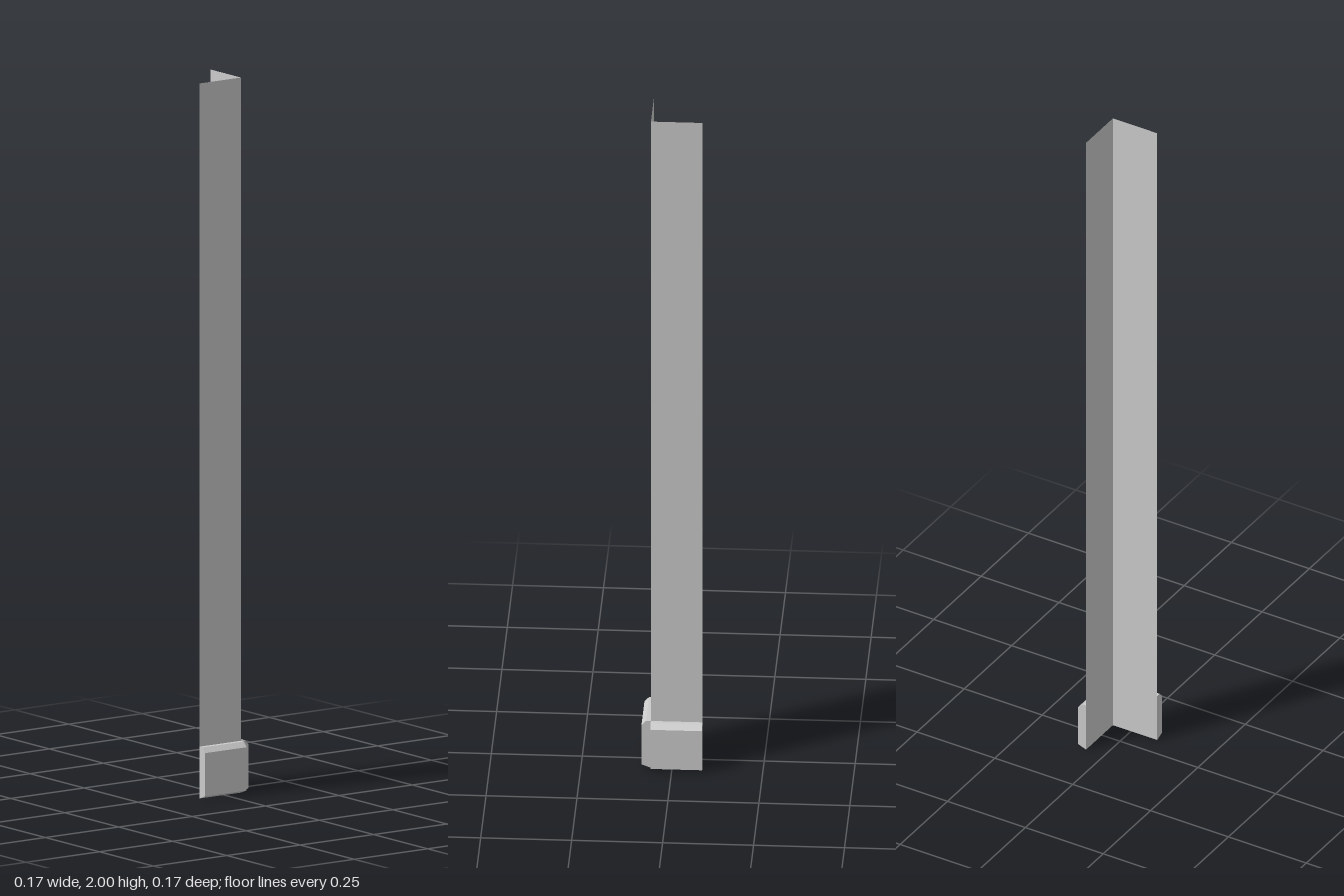
import * as THREE from 'three';

const CORNER = 0.058; // wall planes sit at x = CORNER and z = CORNER
const LENGTH = 0.142; // horizontal length of each wall
const HEIGHT = 2;

export function createModel() {
  const model = new THREE.Group();
  model.name = 'wallCorner';
  const material = new THREE.MeshStandardMaterial({ color: 0xcccccc, side: THREE.DoubleSide, flatShading: true });

  // Skirting profile: distance out from the wall, height
  const profile = new THREE.Shape([
    [0, 0], [0.026, 0.01], [0.026, 0.131], [0.013, 0.145], [0, 0.145],
  ].map(([u, v]) => new THREE.Vector2(u, v)));
  const skirtingGeometry = new THREE.ExtrudeGeometry(profile, { depth: LENGTH, bevelEnabled: false });
  const wallGeometry = new THREE.PlaneGeometry(LENGTH, HEIGHT);
  const middle = CORNER - LENGTH / 2;

  function add(name, geometry, x, y, z, turn) {
    const mesh = new THREE.Mesh(geometry, material);
    mesh.name = name;
    mesh.position.set(x, y, z);
    mesh.rotation.y = turn;
    model.add(mesh);
  }

  // Two thin walls meeting at the corner
  add('frontWall', wallGeometry, middle, HEIGHT / 2, CORNER, 0);
  add('sideWall', wallGeometry, CORNER, HEIGHT / 2, middle, Math.PI / 2);

  // Skirting boards, butted square and leaving a notch at the corner
  add('frontSkirting', skirtingGeometry, CORNER, 0, CORNER, -Math.PI / 2);
  add('sideSkirting', skirtingGeometry, CORNER, 0, CORNER - LENGTH, 0);

  return model;
}
